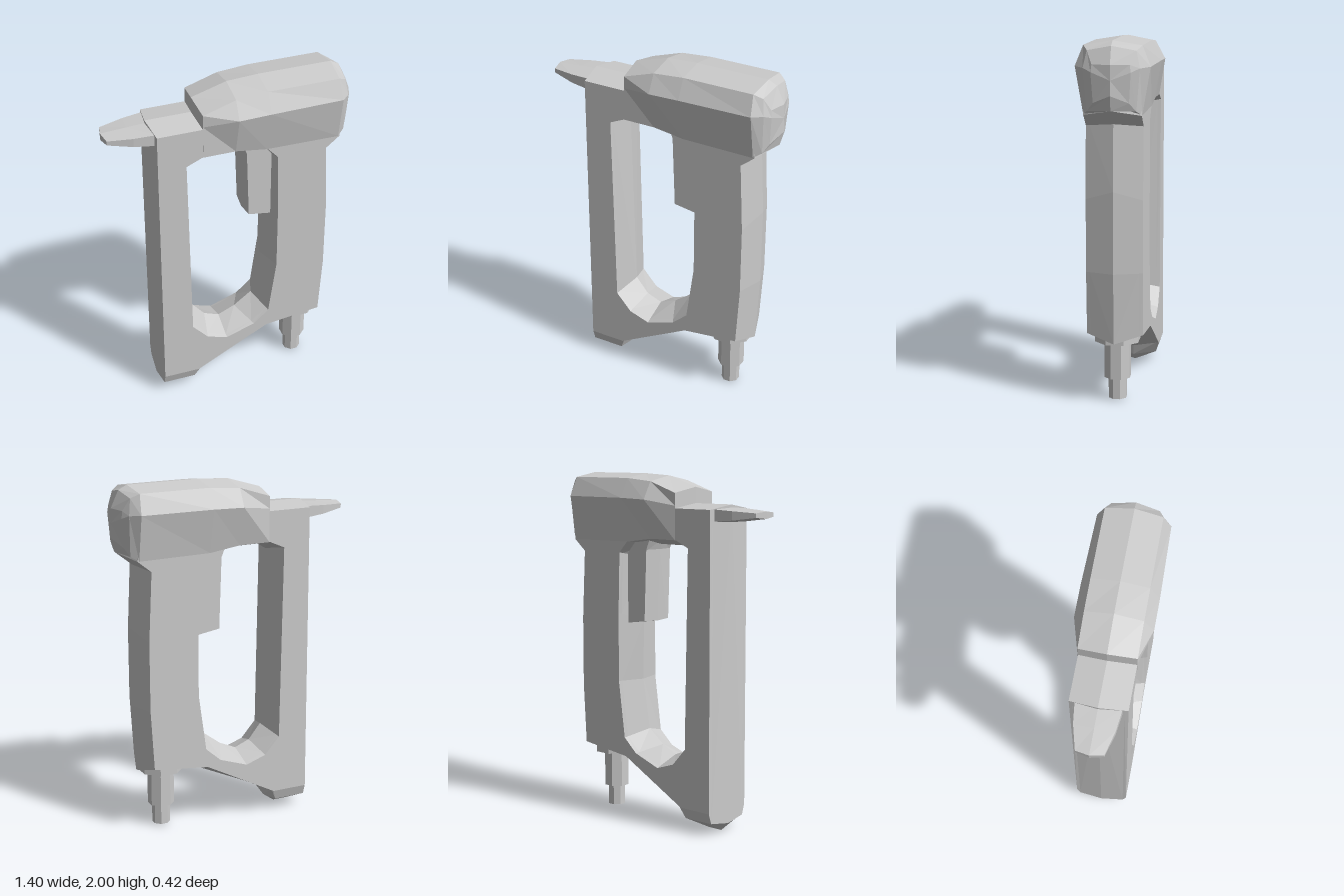
import * as THREE from 'three';

const material = new THREE.MeshStandardMaterial({ color: 0xcccccc, flatShading: true });

function meshFrom(name, triangles) {
  const geometry = new THREE.BufferGeometry();
  geometry.setAttribute('position', new THREE.Float32BufferAttribute(triangles.flat(2), 3));
  geometry.computeVertexNormals();
  const mesh = new THREE.Mesh(geometry, material);
  mesh.name = name;
  return mesh;
}

// Slab with flat sides at z = +-depth and edges that bulge to a ridge at z = 0.
// Loop points: [sideX, sideY, ridgeX, ridgeY, optional shoulderX, shoulderY].
// The first loop is the counter-clockwise outline, the others clockwise holes.
function ridgedSlab(name, depth, loops) {
  const half = [];
  const shoulder = 0.13;
  const sides = loops.map(loop => loop.map(p => new THREE.Vector2(p[0], p[1])));
  const flat = sides.flat();
  for (const face of THREE.ShapeUtils.triangulateShape(sides[0], sides.slice(1))) {
    half.push(face.map(i => [flat[i].x, flat[i].y, depth]));
  }
  for (const loop of loops) {
    const rows = loop.map(([fx, fy, rx, ry, mx, my]) => [
      [fx, fy, depth],
      [mx ?? fx + (rx - fx) * shoulder, my ?? fy + (ry - fy) * shoulder, depth * (1 - shoulder)],
      [rx, ry, 0],
    ]);
    rows.forEach((a, i) => {
      const b = rows[(i + 1) % rows.length];
      for (let k = 0; k < 2; k++) {
        half.push([a[k + 1], b[k + 1], b[k]], [a[k + 1], b[k], a[k]]);
      }
    });
  }
  const mirrored = half.map(t => [t[0], t[2], t[1]].map(([x, y, z]) => [x, y, -z]));
  return meshFrom(name, [...half, ...mirrored]);
}

// Loft along +x through half sections (top centre, +z side, bottom centre), mirrored in z.
function loft(name, halfSections) {
  const rings = halfSections.map(s =>
    [...s, ...s.slice(1, -1).reverse().map(([x, y, z]) => [x, y, -z])]);
  const n = rings[0].length;
  const triangles = [];
  for (let i = 0; i < rings.length - 1; i++) {
    for (let j = 0; j < n; j++) {
      const k = (j + 1) % n, a = rings[i], b = rings[i + 1];
      triangles.push([a[j], a[k], b[k]], [a[j], b[k], b[j]]);
    }
  }
  [0, rings.length - 1].forEach((index, end) => {
    const s = halfSections[index], ring = rings[index];
    const top = s[0], bottom = s[s.length - 1];
    const centre = top.map((v, i) => (v + bottom[i]) / 2);
    for (let j = 0; j < n; j++) {
      const k = (j + 1) % n;
      triangles.push(end ? [centre, ring[j], ring[k]] : [centre, ring[k], ring[j]]);
    }
  });
  return meshFrom(name, triangles);
}

export function createModel() {
  const model = new THREE.Group();

  // Frame: front column, sloping base and rear grip around the finger opening
  const outline = [
    [-0.44, 0.13, -0.45, 0.05, -0.44, 0.07],
    [-0.42, 0.13, -0.40, 0.0, -0.43, 0.07],
    [-0.26, 0.13, -0.31, 0.0, -0.27, 0.07],
    [-0.23, 0.13, -0.24, 0.05, -0.25, 0.07],
    [-0.22, 0.135, -0.22, 0.11],
    [0.20, 0.36, 0.30, 0.355],
    [0.53, 0.40, 0.58, 0.355],
    [0.55, 0.75, 0.60, 0.75],
    [0.55, 1.15, 0.60, 1.20],
    [0.53, 1.545, 0.58, 1.56],
    [0.61, 1.61, 0.68, 1.64],
    [0.58, 1.80, 0.62, 1.80],
    [-0.19, 1.815, -0.19, 1.84],
    [-0.44, 1.815, -0.46, 1.84],
  ];
  const opening = [
    [-0.28, 1.60, -0.24, 1.57],
    [-0.19, 1.64, -0.19, 1.60],
    [0.05, 1.64, 0.06, 1.60],
    [0.18, 1.62, 0.16, 1.59],
    [0.245, 1.55, 0.205, 1.52],
    [0.255, 1.20, 0.20, 1.15],
    [0.255, 0.80, 0.205, 0.80],
    [0.21, 0.47, 0.155, 0.51],
    [0.12, 0.39, 0.05, 0.43],
    [-0.05, 0.33, -0.05, 0.385],
    [-0.17, 0.37, -0.14, 0.42],
    [-0.26, 0.47, -0.215, 0.51],
  ];
  model.add(ridgedSlab('frame', 0.155, [outline, opening]));

  // Motor housing with rounded rear end
  model.add(loft('housing', [
    [[-0.2, 1.93, 0], [-0.185, 1.9, 0.156], [-0.185, 1.83, 0.156], [-0.185, 1.64, 0.156], [-0.2, 1.64, 0]],
    [[0, 1.99, 0], [0, 1.96, 0.156], [0, 1.86, 0.21], [0, 1.64, 0.156], [0, 1.64, 0]],
    [[0.18, 2, 0], [0.18, 1.975, 0.156], [0.18, 1.865, 0.21], [0.18, 1.615, 0.156], [0.18, 1.64, 0]],
    [[0.6, 2, 0], [0.59, 1.975, 0.156], [0.6, 1.865, 0.2], [0.6, 1.61, 0.156], [0.62, 1.64, 0]],
    [[0.65, 1.975, 0], [0.635, 1.95, 0.13], [0.65, 1.86, 0.15], [0.64, 1.635, 0.13], [0.68, 1.64, 0]],
    [[0.695, 1.88, 0], [0.67, 1.88, 0.1], [0.675, 1.84, 0.105], [0.665, 1.68, 0.095], [0.7, 1.72, 0]],
  ]));

  // Flat tapered nose
  const noseSection = (x, tipX, z, top, bottom) => [
    [tipX, top, 0], [x, top - 0.008, z], [x, bottom + 0.008, z], [tipX, bottom, 0]];
  model.add(loft('nose', [
    noseSection(-0.69, -0.705, 0.075, 1.81, 1.77),
    noseSection(-0.555, -0.56, 0.11, 1.818, 1.752),
    noseSection(-0.43, -0.43, 0.125, 1.825, 1.742),
  ]));

  // Trigger
  model.add(ridgedSlab('trigger', 0.1, [[
    [0.10, 1.16, 0.09, 1.155],
    [0.23, 1.14, 0.23, 1.14],
    [0.23, 1.63, 0.23, 1.63],
    [0.06, 1.63, 0.05, 1.63],
    [0.085, 1.57, 0.07, 1.57],
  ]]));

  // Stepped air connector below the grip
  const steps = [
    ['connectorCollar', 0.13, 0.34, 0.40],
    ['connectorStem', 0.076, 0.13, 0.35],
    ['connectorTip', 0.052, 0.01, 0.14],
  ];
  for (const [name, radius, low, high] of steps) {
    const step = new THREE.Mesh(new THREE.CylinderGeometry(radius, radius, high - low, 8), material);
    step.name = name;
    step.rotation.y = Math.PI / 8;
    step.position.set(0.43, (low + high) / 2, 0);
    model.add(step);
  }

  return model;
}
